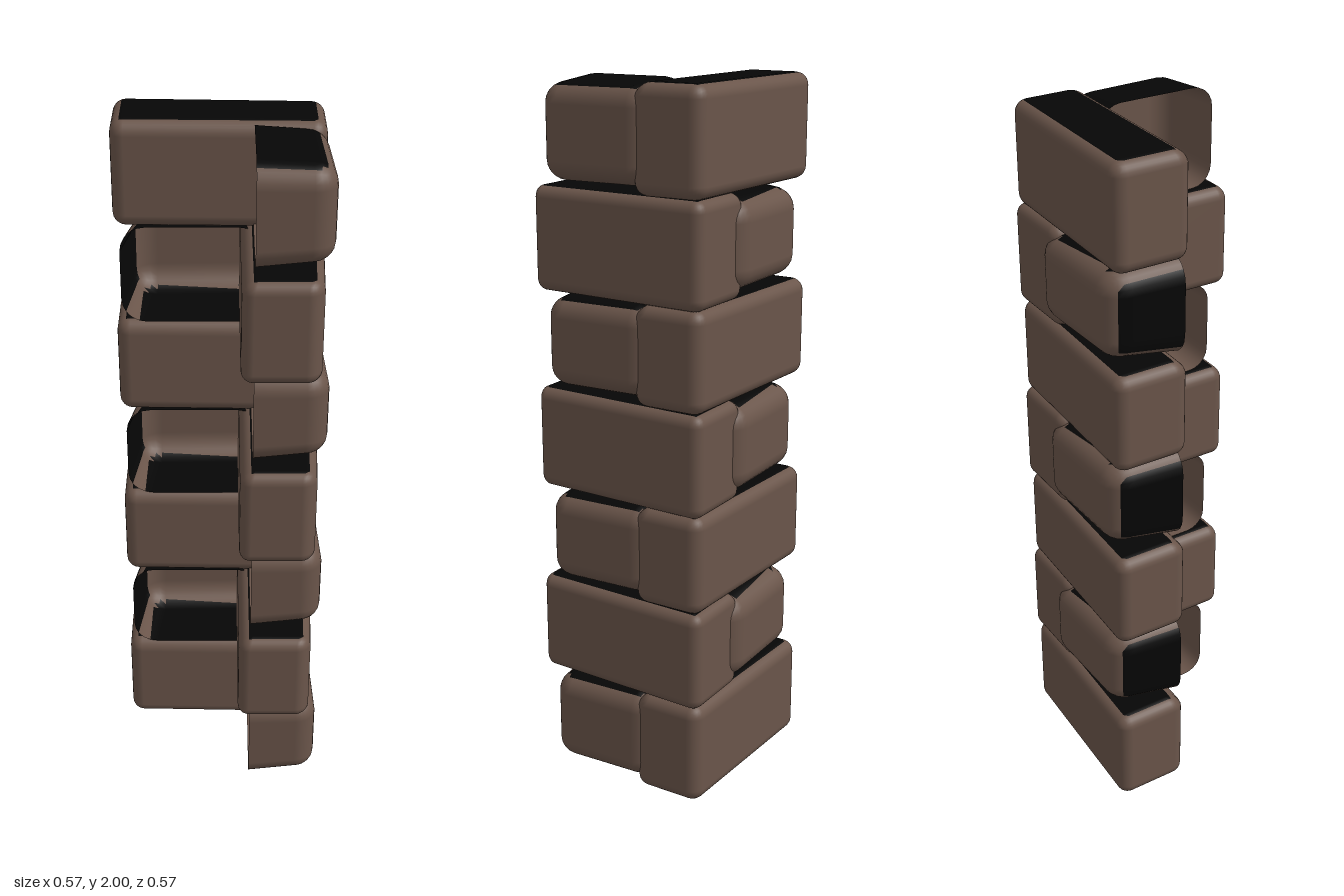
import * as THREE from 'three';
import { RoundedBoxGeometry } from 'three/addons/geometries/RoundedBoxGeometry.js';

const stone = new THREE.MeshStandardMaterial({ name: 'brown stone', color: 0x6a554a, side: THREE.DoubleSide });
const soot = new THREE.MeshStandardMaterial({ name: 'black unexposed stone', color: 0x060606, side: THREE.DoubleSide });

// A worn block between two corners. isDark(normal) picks the unexposed black
// faces, isOpen(normal) the faces left out, warp(point, height 0..1) the wear.
function block(name, min, max, radius, isDark, isOpen, warp) {
  const size = max.map((v, i) => v - min[i]);
  const mid = max.map((v, i) => (v + min[i]) / 2);
  const g = new RoundedBoxGeometry(size[0], size[1], size[2], 3, radius);
  const pos = g.attributes.position, nor = g.attributes.normal;

  // Sort the triangles into brown and black by the way they face
  const brown = [], black = [];
  const n = new THREE.Vector3(), v = new THREE.Vector3();
  for (let i = 0; i < pos.count; i += 3) {
    n.set(0, 0, 0);
    for (let k = 0; k < 3; k++) n.add(v.fromBufferAttribute(nor, i + k));
    n.normalize();
    if (!isOpen(n)) (isDark(n) ? black : brown).push(i, i + 1, i + 2);
  }
  g.setIndex([...brown, ...black]);
  g.clearGroups();
  g.addGroup(0, brown.length, 0);
  g.addGroup(brown.length, black.length, 1);

  // Wear the block slightly out of square
  g.translate(mid[0], mid[1], mid[2]);
  for (let i = 0; i < pos.count; i++) {
    v.fromBufferAttribute(pos, i);
    warp(v, (v.y - min[1]) / size[1]);
    pos.setXYZ(i, v.x, v.y, v.z);
  }
  const mesh = new THREE.Mesh(g, [stone, soot]);
  mesh.name = name;
  return mesh;
}

const ramp = (t) => THREE.MathUtils.clamp(t, 0, 1);
const darkTop = (n) => n.y > 0.97;
const darkSlope = (n) => n.y > 0.85;
const darkBed = (n) => Math.abs(n.y) > 0.9 || n.x < -0.8;
const closed = () => false;
const openFront = (n) => n.z > 0.05;
const openInner = (n) => n.x < -0.05;

// Back face leans in toward the outer corner, inner face toward the far end;
// the inner top edge is worn wider
const warpBack = (p, t) => {
  if (p.z < -0.17) p.z += 0.022 * ramp(p.x / 0.28);
  else p.z -= 0.012 * ramp(-p.x / 0.28) + 0.012 * ramp((t - 0.88) / 0.12);
};
// Outer side narrows at the front end
const warpSide = (p, t) => {
  if (p.x > 0.17) p.x -= 0.03 * ramp((p.z - 0.19) / 0.09);
  else p.x += 0.01 * ramp((t - 0.88) / 0.12);
};
// Open shells taper away from their open side
const warpShortSide = (p, t) => {
  const depth = ramp((p.x - 0.085) / 0.13);
  p.y -= 0.02 * (t - 0.5) * depth;
  if (p.x > 0.17) p.x += 0.01 * ramp((p.z + 0.08) / 0.25);
  if (p.z > 0.1) p.z -= 0.01 * depth;
};
const warpShortBack = (p, t) => {
  const depth = ramp((-0.07 - p.z) / 0.14);
  p.y -= 0.03 * (t - 0.5) * depth;
  if (p.x < -0.1) p.x += 0.022 * depth;
  if (p.z < -0.17) p.z += 0.008 * ramp(-p.x / 0.27);
};

export function createModel() {
  const model = new THREE.Group();
  model.name = 'cornerStones';
  const seams = [0, 0.298, 0.58, 0.865, 1.15, 1.431, 1.712, 2];

  // Seven interlocking courses, the long block alternating between the walls
  for (let row = 0; row < 7; row++) {
    const y0 = seams[row], y1 = seams[row + 1];
    const course = new THREE.Group();
    course.name = 'course' + (row + 1);
    if (row % 2 === 0) {
      course.add(block('longBackBlock', [-0.288, y0, -0.28], [0.274, y1, -0.05],
        0.036, darkTop, closed, warpBack));
      course.add(block('shortSideBlock', [0.025, y0 + 0.01, -0.1], [0.276, y1, 0.242],
        0.06, darkSlope, openInner, warpShortSide));
    } else {
      course.add(block('longSideBlock', [0.05, y0 - 0.003, -0.264], [0.28, y1 + 0.003, 0.284],
        0.032, darkTop, closed, warpSide));
      course.add(block('shortBackBlock', [-0.272, y0 + 0.002, -0.285], [0.12, y1, 0],
        0.07, darkBed, openFront, warpShortBack));
    }
    model.add(course);
  }
  return model;
}
